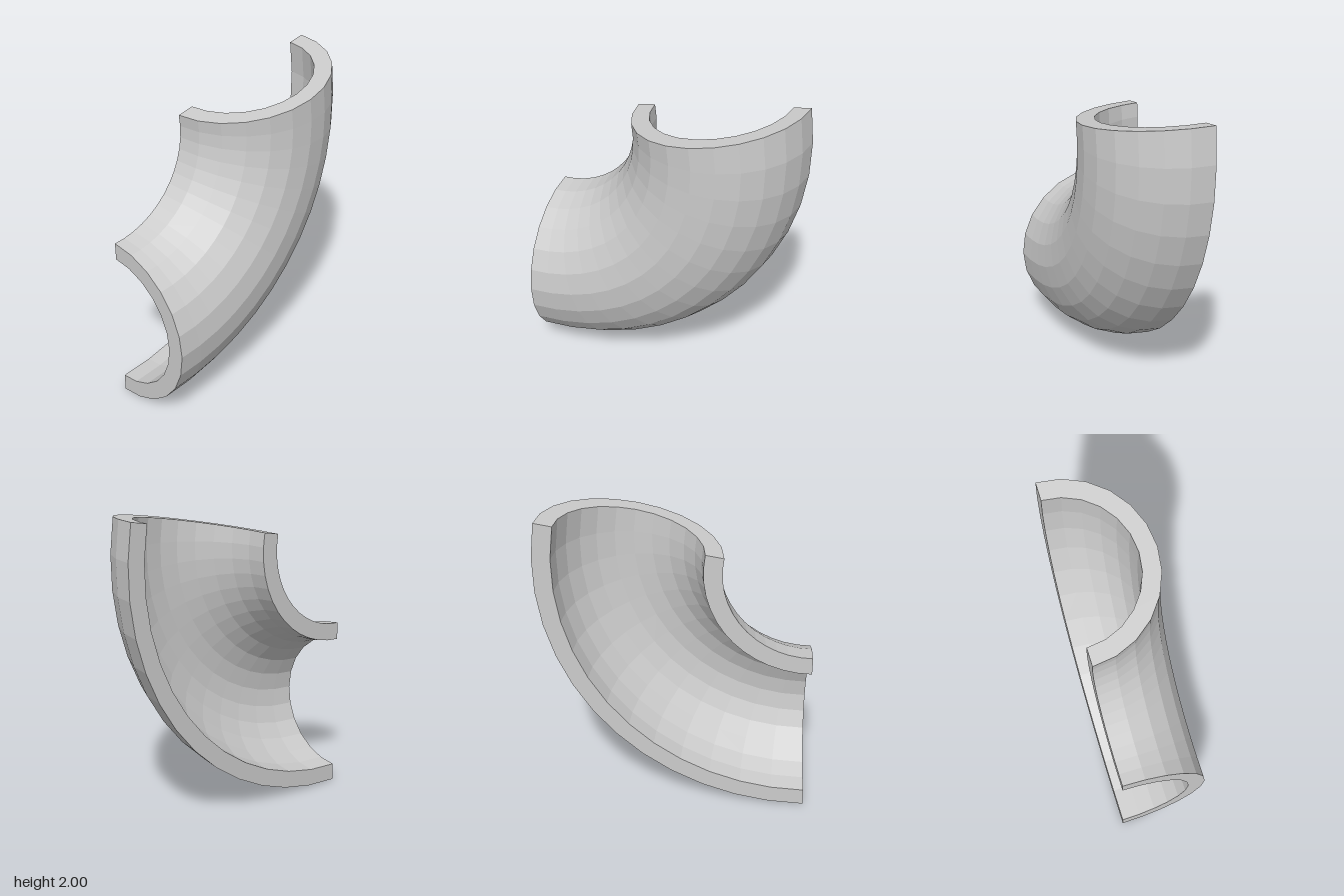
import * as THREE from 'three';
import { mergeGeometries } from 'three/addons/utils/BufferGeometryUtils.js';

const BEND = 1.136;                            // bend axis to pipe centreline
const OUTER = 0.568, INNER = 0.454;            // pipe radii
const SWEEP = THREE.MathUtils.degToRad(100);
const ARC_STEPS = 12, BEND_STEPS = 13;

// Half-ring cross-section: (distance from bend axis, depth)
function halfRing() {
  const arc = (radius) => Array.from({ length: ARC_STEPS + 1 }, (_, i) => {
    const a = (i / ARC_STEPS) * Math.PI;
    return new THREE.Vector2(BEND + radius * Math.cos(a), radius * Math.sin(a));
  });
  return [...arc(OUTER), ...arc(INNER).reverse()];
}

// Flat end face at a given sweep angle
function endFace(section, angle, flip) {
  const face = new THREE.ShapeGeometry(new THREE.Shape(section));
  if (flip) face.index.array.reverse();
  return face.rotateY(angle - Math.PI / 2);
}

export function createModel() {
  const section = halfRing();

  // Closed section swept round the bend axis, then both ends capped
  const shell = new THREE.LatheGeometry([...section, section[0].clone()], BEND_STEPS, 0, SWEEP);
  const parts = [shell, endFace(section, 0, false), endFace(section, SWEEP, true)];
  const geometry = mergeGeometries(parts.map((g) => g.toNonIndexed()));
  geometry.computeVertexNormals();

  // Stand the bend upright, open side to the back
  geometry.rotateX(Math.PI / 2);
  geometry.translate(-0.852, BEND + OUTER, -OUTER / 2);

  const elbow = new THREE.Mesh(
    geometry,
    new THREE.MeshStandardMaterial({ color: 0xcccccc, flatShading: true })
  );
  elbow.name = 'halfPipeElbow';

  const model = new THREE.Group();
  model.name = 'pipeBend';
  model.add(elbow);
  return model;
}
